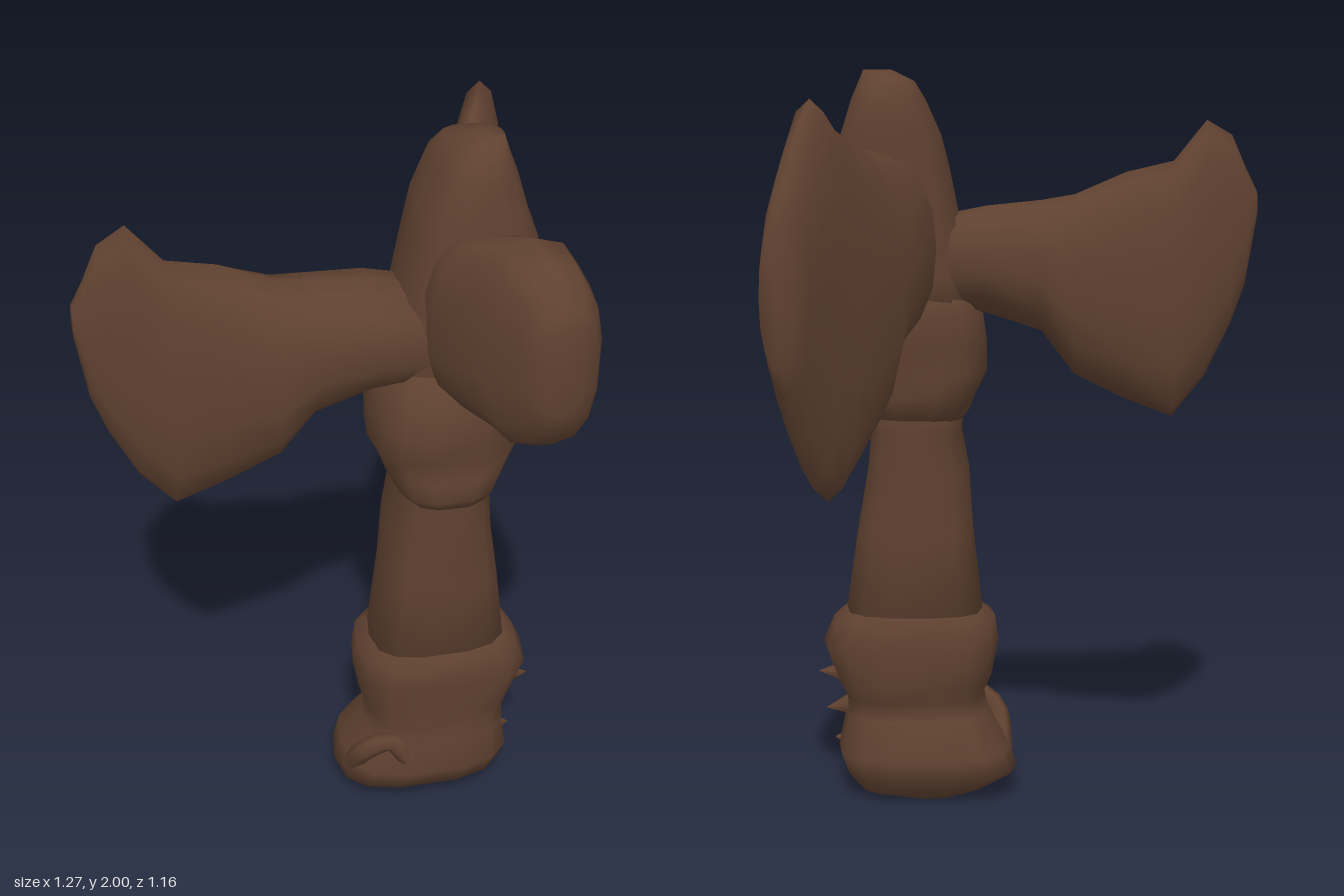
import * as THREE from 'three';

// Loft of rounded cross-sections along one axis.
// ring = [position, uMin, uMax, vMin, vMax]; axes = [u, v, path] as indices into xyz.
// power below 1 makes the section squarer, 1 is an ellipse, above 1 is lens shaped.
function loft(rings, axes, power = 0.7, sides = 14) {
  const pos = [], index = [];
  const put = (u, v, p) => {
    const q = [0, 0, 0];
    q[axes[0]] = u; q[axes[1]] = v; q[axes[2]] = p;
    pos.push(...q);
  };
  const bend = (t) => Math.sign(t) * Math.pow(Math.abs(t), power);
  for (const [p, u0, u1, v0, v1] of rings) {
    for (let k = 0; k < sides; k++) {
      const a = (k / sides) * Math.PI * 2;
      put((u0 + u1) / 2 + bend(Math.cos(a)) * (u1 - u0) / 2,
        (v0 + v1) / 2 + bend(Math.sin(a)) * (v1 - v0) / 2, p);
    }
  }
  for (let j = 0; j < rings.length - 1; j++) {
    for (let k = 0; k < sides; k++) {
      const a = j * sides + k, b = j * sides + (k + 1) % sides;
      index.push(a, a + sides, b, b, a + sides, b + sides);
    }
  }
  // End caps
  for (const j of [0, rings.length - 1]) {
    const [p, u0, u1, v0, v1] = rings[j];
    const c = pos.length / 3;
    put((u0 + u1) / 2, (v0 + v1) / 2, p);
    for (let k = 0; k < sides; k++) {
      const a = j * sides + k, b = j * sides + (k + 1) % sides;
      if (j === 0) index.push(c, a, b); else index.push(c, b, a);
    }
  }
  const g = new THREE.BufferGeometry();
  g.setAttribute('position', new THREE.Float32BufferAttribute(pos, 3));
  g.setIndex(index);
  g.computeVertexNormals();
  return g;
}

export function createModel() {
  const group = new THREE.Group();
  const wood = new THREE.MeshStandardMaterial({ color: 0x5f4130 });
  wood.name = 'dark brown wood';
  const add = (name, geometry) => {
    const m = new THREE.Mesh(geometry, wood);
    m.name = name;
    group.add(m);
    return m;
  };
  const UP = [0, 2, 1], ALONG_X = [1, 2, 0], BACK = [0, 1, 2], FRONT = [1, 0, 2];

  // Knobbly grip at the foot, with a bulging upper band
  add('grip', loft([
    [0.0, 0.2, 0.32, 0.02, 0.1],
    [0.02, 0.12, 0.45, -0.01, 0.17],
    [0.07, 0.02, 0.5, -0.05, 0.29],
    [0.13, 0.04, 0.52, -0.07, 0.31],
    [0.23, 0.1, 0.5, -0.02, 0.3],
    [0.28, 0.11, 0.5, -0.01, 0.29],
    [0.33, 0.09, 0.52, -0.05, 0.3],
    [0.43, 0.07, 0.56, -0.04, 0.3],
    [0.5, 0.08, 0.53, -0.04, 0.31],
    [0.53, 0.13, 0.49, 0.0, 0.27],
  ], UP));

  // Tapering shaft
  add('shaft', loft([
    [0.48, 0.11, 0.5, -0.01, 0.27],
    [0.75, 0.14, 0.46, -0.01, 0.28],
    [0.92, 0.15, 0.43, -0.01, 0.29],
    [1.03, 0.17, 0.42, -0.02, 0.29],
    [1.15, 0.16, 0.43, -0.02, 0.29],
  ], UP));

  // Wrapped collar below the head
  add('collar', loft([
    [1.04, 0.18, 0.41, 0.0, 0.3],
    [1.08, 0.15, 0.43, -0.03, 0.33],
    [1.13, 0.13, 0.46, -0.06, 0.32],
    [1.19, 0.1, 0.49, -0.05, 0.31],
    [1.27, 0.1, 0.48, -0.07, 0.34],
    [1.35, 0.11, 0.5, -0.07, 0.31],
    [1.42, 0.15, 0.5, -0.06, 0.28],
  ], UP));

  // Head block with its raised crown
  add('head', loft([
    [1.3, 0.13, 0.5, -0.06, 0.28],
    [1.45, 0.14, 0.54, -0.07, 0.27],
    [1.6, 0.17, 0.54, -0.07, 0.27],
    [1.75, 0.2, 0.52, -0.07, 0.26],
    [1.83, 0.22, 0.49, -0.07, 0.24],
    [1.92, 0.26, 0.46, -0.07, 0.23],
    [1.97, 0.29, 0.44, -0.02, 0.2],
    [2.0, 0.35, 0.43, 0.07, 0.15],
  ], UP));

  // Rounded hammer knob at the front
  add('hammerKnob', loft([
    [0.12, 1.34, 1.78, 0.2, 0.5],
    [0.28, 1.34, 1.81, 0.22, 0.51],
    [0.4, 1.33, 1.86, 0.29, 0.56],
    [0.46, 1.32, 1.83, 0.32, 0.57],
    [0.52, 1.36, 1.79, 0.36, 0.57],
    [0.56, 1.42, 1.75, 0.38, 0.55],
    [0.58, 1.47, 1.7, 0.42, 0.51],
  ], FRONT, 0.75));

  // Blade to the model's right
  add('rightBlade', loft([
    [0.3, 1.36, 1.6, -0.03, 0.25],
    [0.1, 1.35, 1.64, -0.05, 0.27],
    [-0.05, 1.3, 1.655, -0.03, 0.27],
    [-0.14, 1.18, 1.67, -0.01, 0.26],
    [-0.28, 1.11, 1.73, 0.02, 0.25],
    [-0.41, 1.06, 1.76, 0.05, 0.24],
    [-0.5, 1.17, 1.87, 0.08, 0.24],
    [-0.57, 1.31, 1.83, 0.11, 0.23],
    [-0.61, 1.42, 1.74, 0.13, 0.22],
    [-0.64, 1.6, 1.68, 0.15, 0.21],
  ], ALONG_X, 0.9));

  // Blade to the back
  add('backBlade', loft([
    [0.1, 0.22, 0.48, 1.34, 1.74],
    [-0.06, 0.23, 0.51, 1.29, 1.77],
    [-0.14, 0.28, 0.52, 1.22, 1.79],
    [-0.19, 0.31, 0.53, 1.07, 1.79],
    [-0.28, 0.36, 0.55, 0.99, 1.82],
    [-0.36, 0.41, 0.58, 0.91, 1.86],
    [-0.41, 0.44, 0.6, 0.97, 1.91],
    [-0.48, 0.48, 0.62, 1.08, 1.8],
    [-0.54, 0.51, 0.63, 1.2, 1.7],
    [-0.58, 0.54, 0.63, 1.27, 1.6],
  ], BACK, 0.9, 16));

  // Splinters and a bent root at the grip, and a burr on the collar
  const burrs = [
    [0.52, 0.33, 0.16, 0.05, 0.12, -Math.PI / 2],
    [0.5, 0.25, 0.1, 0.05, 0.11, -1.75],
    [0.48, 0.14, 0.15, 0.07, 0.11, -Math.PI / 2],
    [0.49, 1.21, 0.14, 0.09, 0.14, -1.3],
  ];
  for (const [x, y, z, r, h, tilt] of burrs) {
    const m = add('splinter', new THREE.ConeGeometry(r, h, 6));
    m.position.set(x, y, z);
    m.rotation.z = tilt;
  }
  const root = new THREE.CatmullRomCurve3([
    new THREE.Vector3(0.06, 0.09, 0.18), new THREE.Vector3(0.08, 0.2, 0.25),
    new THREE.Vector3(0.15, 0.24, 0.27), new THREE.Vector3(0.2, 0.18, 0.28),
  ]);
  add('root', new THREE.TubeGeometry(root, 8, 0.03, 6));
  return group;
}
